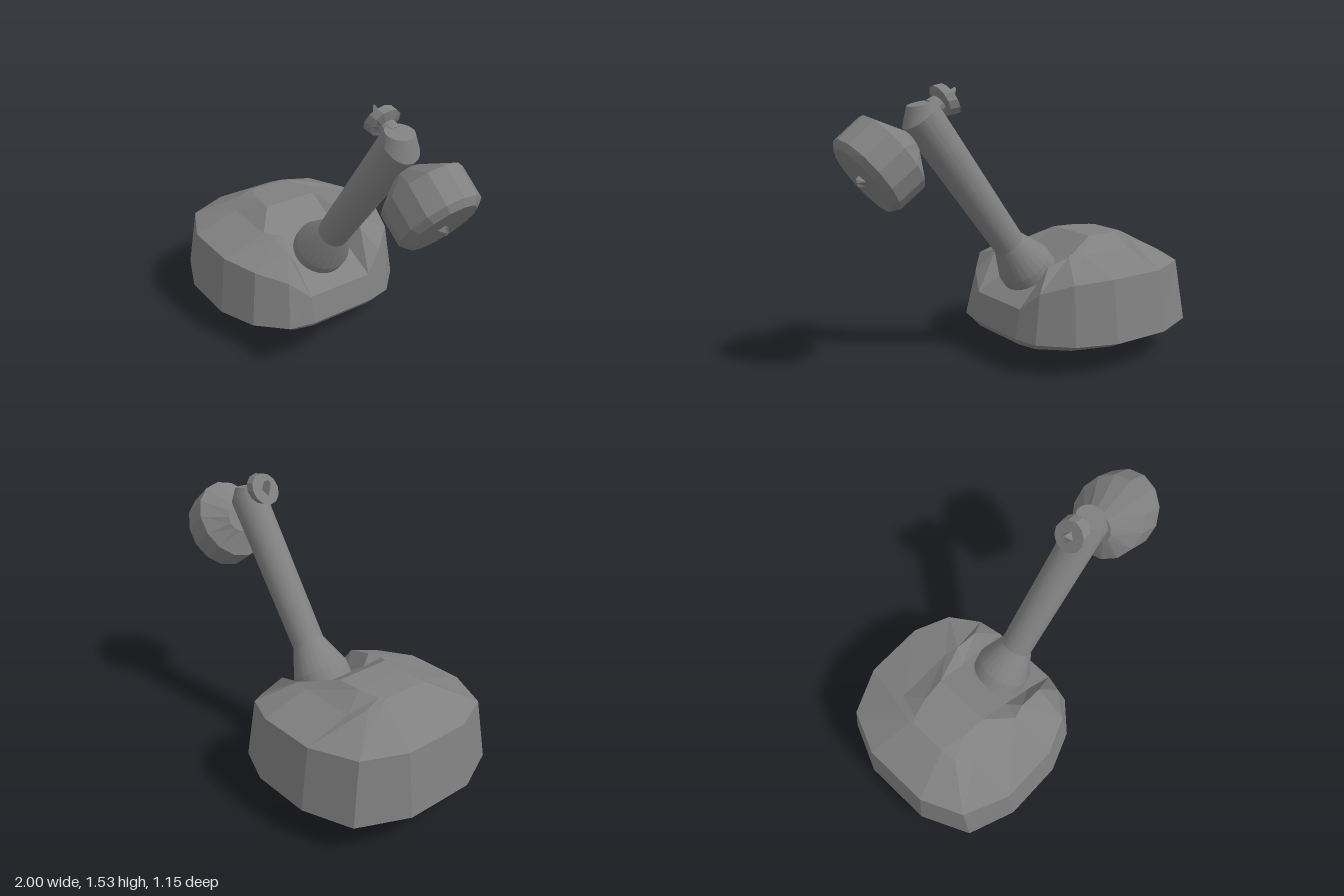
import * as THREE from 'three';
import { toCreasedNormals } from 'three/addons/utils/BufferGeometryUtils.js';

// Joins closed loops of points into a capped skin; crease 0 gives flat facets
function loft(loops, crease = 0) {
  const n = loops[0].length, index = [];
  for (let i = 0; i < loops.length - 1; i++) {
    for (let j = 0; j < n; j++) {
      const a = i * n + j, b = i * n + (j + 1) % n;
      index.push(a, b, b + n, a, b + n, a + n);
    }
  }
  const end = (loops.length - 1) * n;
  for (let i = 0; i < Math.floor(n / 2); i++) {
    const p = i, q = i + 1, r = n - 2 - i, s = n - 1 - i;
    if (q !== r && q < r) index.push(r, q, p, end + p, end + q, end + r);
    if (p < r) index.push(s, r, p, end + p, end + r, end + s);
  }
  let geo = new THREE.BufferGeometry();
  geo.setAttribute('position', new THREE.Float32BufferAttribute(loops.flat(2), 3));
  geo.setIndex(index);
  geo = geo.toNonIndexed();
  if (crease) return toCreasedNormals(geo, crease);
  geo.computeVertexNormals();
  return geo;
}

// Elliptical loop spanning (ax, ay) to (bx, by), with half width w along z
function ring([ax, ay, bx, by, w], sides) {
  return Array.from({ length: sides }, (_, i) => {
    const t = (i / sides) * Math.PI * 2, c = Math.cos(t) / 2;
    return [(ax + bx) / 2 + (ax - bx) * c, (ay + by) / 2 + (ay - by) * c, w * Math.sin(t)];
  });
}
const tube = (rings, sides, crease) => loft(rings.map((r) => ring(r, sides)), crease);

// Completes a half loop of [x, y, z] by mirroring it across z
const mirror = (half) => [...half, ...half.map(([x, y, z]) => [x, y, -z]).reverse()];
const level = (y, half) => mirror(half.map(([x, z]) => [x, y, z]));

export function createModel() {
  const group = new THREE.Group();
  const grey = new THREE.MeshStandardMaterial({ color: 0x808080 });
  grey.name = 'grey';
  const add = (name, geo) => {
    const mesh = new THREE.Mesh(geo, grey);
    mesh.name = name;
    group.add(mesh);
  };

  // Faceted base: foot, underside, side wall, top rim and sloping notch
  add('base', loft([
    level(0, [[-0.58, 0.06], [-0.56, 0.09], [-0.52, 0.13], [-0.38, 0.13], [-0.36, 0.12], [-0.34, 0.09], [-0.32, 0.06]]),
    level(0.122, [[-0.69, 0.06], [-0.67, 0.12], [-0.54, 0.28], [-0.36, 0.28], [-0.28, 0.2], [-0.22, 0.12], [-0.2, 0.06]]),
    level(0.142, [[-0.93, 0.19], [-0.83, 0.41], [-0.6, 0.5], [-0.29, 0.5], [-0.08, 0.43], [0.06, 0.3], [0.09, 0.19]]),
    level(0.18, [[-1, 0.2], [-0.88, 0.47], [-0.62, 0.573], [-0.28, 0.573], [-0.06, 0.49], [0.09, 0.34], [0.12, 0.2]]),
    mirror([[-0.95, 0.52, 0.19], [-0.85, 0.52, 0.42], [-0.61, 0.52, 0.53], [-0.28, 0.52, 0.53],
      [-0.08, 0.5, 0.45], [0.04, 0.44, 0.31], [0.09, 0.34, 0.2]]),
    mirror([[-0.7, 0.655, 0.12], [-0.68, 0.64, 0.2], [-0.61, 0.6, 0.27], [-0.28, 0.595, 0.27],
      [-0.2, 0.595, 0.25], [-0.06, 0.56, 0.25], [0.09, 0.34, 0.2]]),
    mirror([[-0.69, 0.66, 0.1], [-0.66, 0.662, 0.12], [-0.55, 0.667, 0.15], [-0.42, 0.67, 0.16],
      [-0.25, 0.56, 0.17], [-0.08, 0.45, 0.18], [0.09, 0.34, 0.2]]),
  ]));

  // Flared socket and leaning arm with a bevelled end
  add('armSocket', tube([
    [-0.255, 0.555, -0.005, 0.37, 0.157],
    [-0.205, 0.62, 0.045, 0.435, 0.157],
    [-0.045, 0.715, 0.095, 0.605, 0.09],
  ], 24, 0.4));
  add('arm', tube([
    [-0.045, 0.715, 0.095, 0.605, 0.09],
    [0.47, 1.445, 0.643, 1.31, 0.095],
    [0.475, 1.45, 0.62, 1.42, 0.075],
  ], 24, 0.4));

  // Round head with a conical back and chamfered face
  add('head', tube([
    [0.655, 1.31, 0.582, 1.16, 0.09],
    [0.86, 1.39, 0.57, 1.015, 0.205],
    [0.992, 1.285, 0.71, 0.917, 0.205],
    [0.998, 1.24, 0.745, 0.912, 0.165],
  ], 14));
  add('headTip', tube([
    [0.89, 1.105, 0.855, 1.045, 0.03],
    [0.91, 1.09, 0.9, 1.05, 0.006],
  ], 4));

  // Small knob on top of the arm, with a pointed end
  add('knob', tube([
    [0.43, 1.39, 0.52, 1.45, 0.05],
    [0.415, 1.4, 0.475, 1.47, 0.045],
    [0.4, 1.367, 0.48, 1.52, 0.083],
    [0.342, 1.375, 0.43, 1.53, 0.083],
  ], 12));
  add('knobTip', tube([
    [0.36, 1.42, 0.4, 1.49, 0.03],
    [0.345, 1.5, 0.355, 1.51, 0.006],
  ], 4));

  return group;
}
